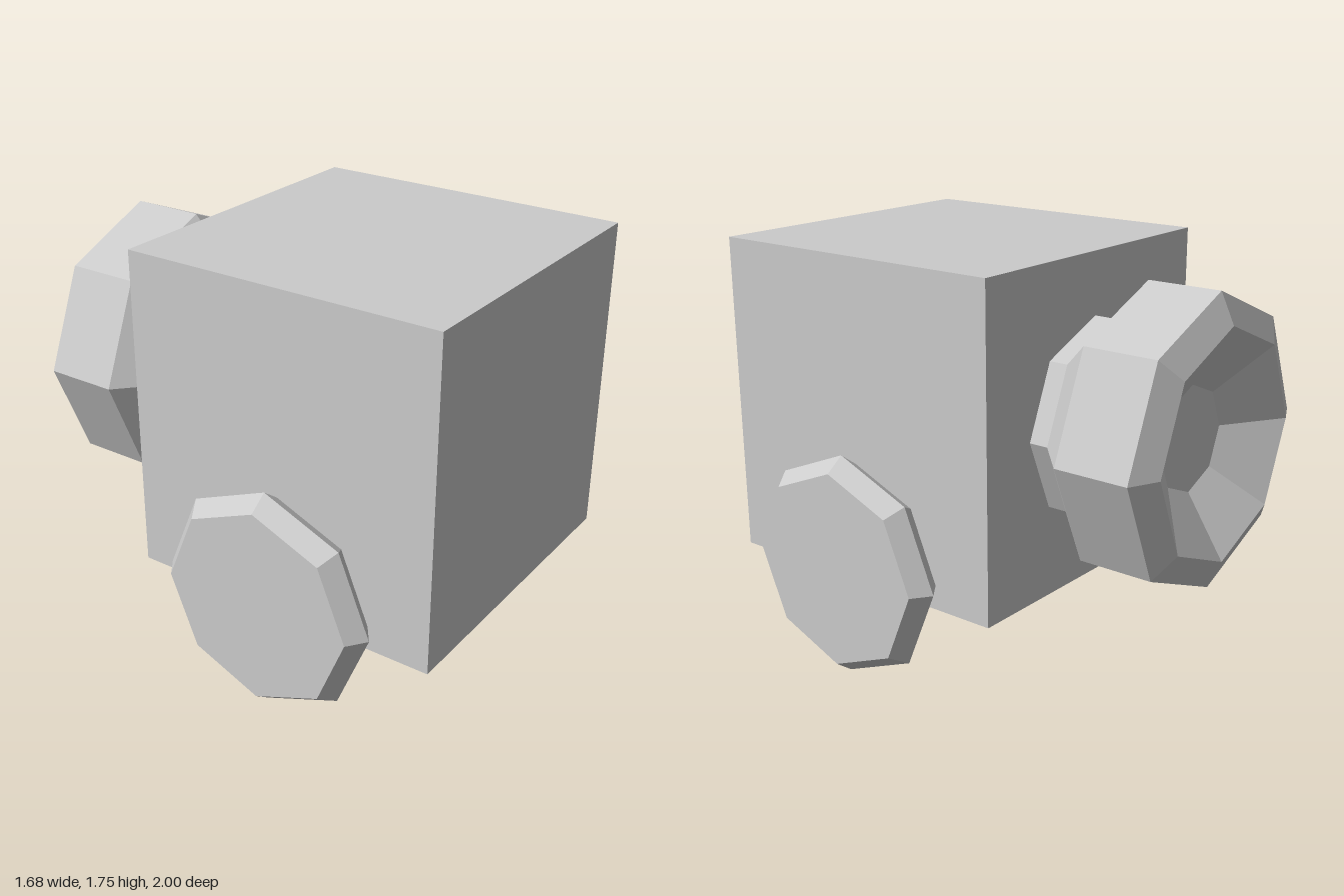
import * as THREE from 'three';

const material = new THREE.MeshStandardMaterial({ color: 0xcccccc, flatShading: true });

// Eight-sided turned part from [radius, height] pairs, listed bottom to top
function turned(name, profile) {
  const points = profile.map(([r, h]) => new THREE.Vector2(r, h));
  const mesh = new THREE.Mesh(new THREE.LatheGeometry(points, 8), material);
  mesh.name = name;
  return mesh;
}

export function createModel() {
  const group = new THREE.Group();

  // Main block
  const body = new THREE.Mesh(new THREE.BoxGeometry(1.372, 1.372, 1.376), material);
  body.name = 'body';
  body.position.set(0, 1.06, 0.312);
  group.add(body);

  // Bevelled discs on both sides
  for (const side of [1, -1]) {
    const wheel = turned(side > 0 ? 'leftWheel' : 'rightWheel',
      [[0, 0], [0.42, 0], [0.478, 0.078], [0.42, 0.156], [0, 0.156]]);
    wheel.rotation.z = -side * Math.PI / 2;
    wheel.position.set(side * 0.686, 0.478, 0.313);
    group.add(wheel);
  }

  // Rear nozzle: neck, flare, drum, chamfered rim and dished recess
  const nozzle = turned('rearNozzle', [
    [0, 0], [0.425, 0], [0.425, 0.083], [0.6, 0.245],
    [0.6, 0.565], [0.475, 0.624], [0.22, 0.46], [0, 0.46],
  ]);
  nozzle.rotation.x = -Math.PI / 2;
  nozzle.position.set(0, 1.06, -0.376);
  group.add(nozzle);

  return group;
}
